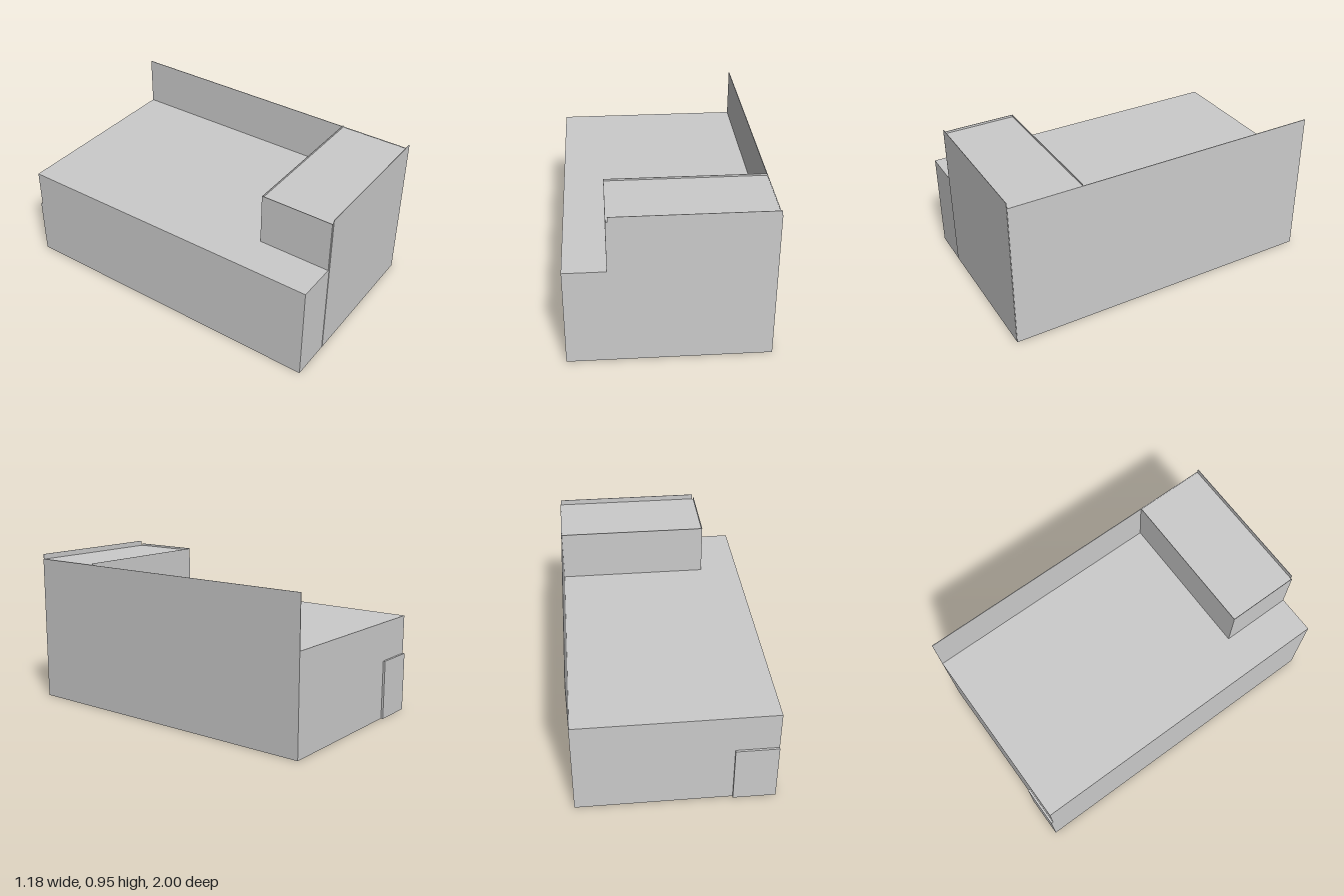
import * as THREE from 'three';

const grey = new THREE.MeshStandardMaterial({ color: 0xcccccc, flatShading: true, side: THREE.DoubleSide });

// Box given by its lower and upper corners
function block(name, [x0, y0, z0], [x1, y1, z1]) {
  const mesh = new THREE.Mesh(new THREE.BoxGeometry(x1 - x0, y1 - y0, z1 - z0), grey);
  mesh.position.set((x0 + x1) / 2, (y0 + y1) / 2, (z0 + z1) / 2);
  mesh.name = name;
  return mesh;
}

export function createModel() {
  const building = new THREE.Group();
  building.name = 'building';
  building.add(
    // Long main hall with a flat roof
    block('mainHall', [-0.59, 0, -0.987], [0.583, 0.605, 0.997]),
    // Tall thin wall along the left side
    block('sideWall', [0.583, 0, -0.987], [0.587, 0.916, 0.998]),
    // Raised storey at the front
    block('upperStorey', [-0.343, 0.605, 0.552], [0.583, 0.914, 0.997]),
    // Low rims around the upper roof
    block('upperSideRim', [-0.346, 0.605, 0.55], [-0.343, 0.927, 0.997]),
    block('upperBackRim', [-0.346, 0.605, 0.549], [0.583, 0.925, 0.552]),
    // Facade sheet rising above the roof as a parapet
    block('frontFacade', [-0.335, 0.005, 0.997], [0.583, 0.947, 1]),
    // Shallow door box at the back corner
    block('backDoor', [-0.59, 0, -1], [-0.337, 0.365, -0.987]),
  );
  return building;
}
